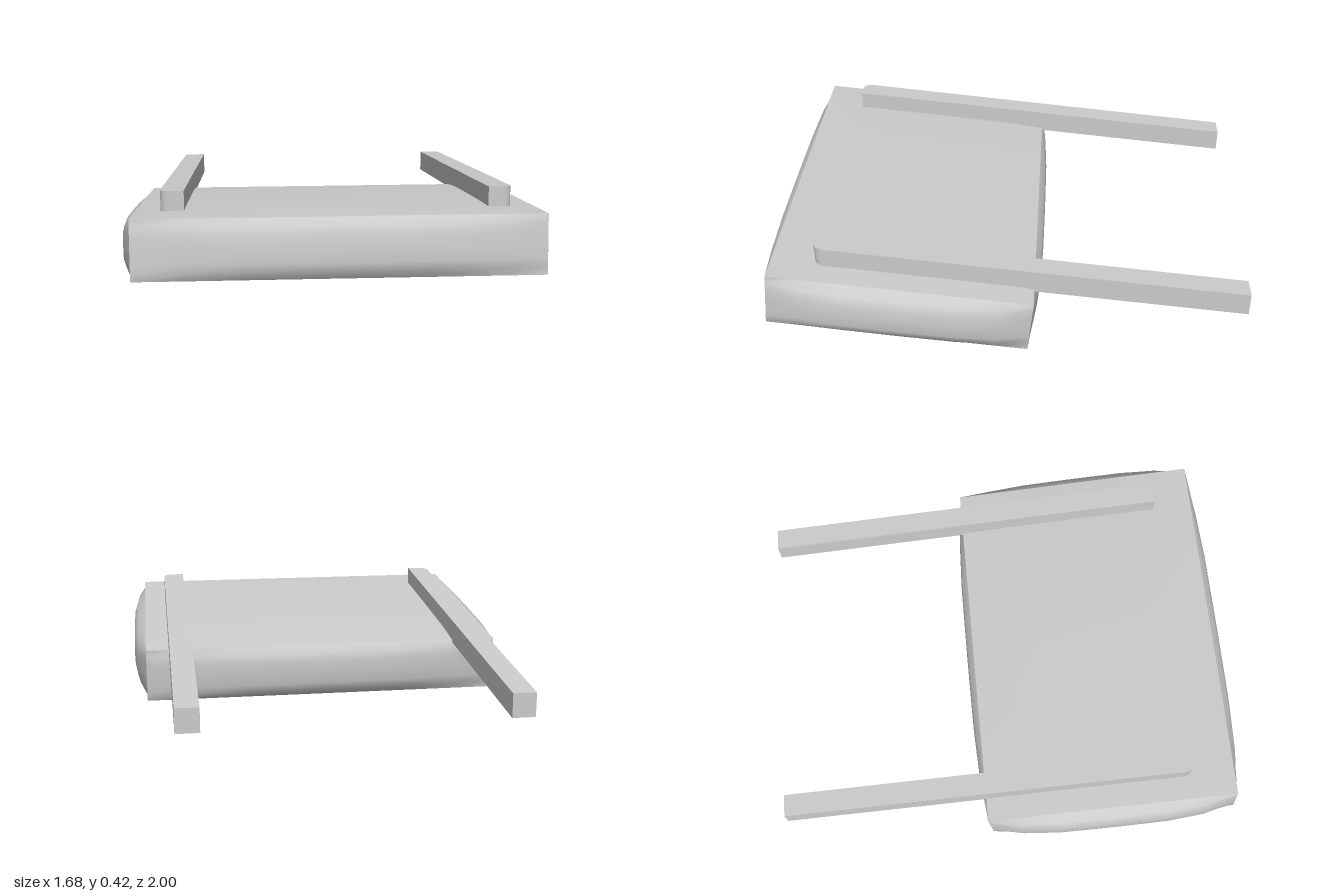
import * as THREE from 'three';

const material = new THREE.MeshStandardMaterial({ color: 0xcccccc });
const TILT = 0.1;

// Box whose six faces swell outwards while its twelve edges stay straight and sharp
function pillowBox(hx, hy, hz, swell) {
  const geo = new THREE.BoxGeometry(2, 2, 2, 6, 6, 6);
  const pos = geo.attributes.position;
  const ease = (u) => Math.sign(u) * Math.abs(u) ** 0.75;
  const bulge = (u) => 1 - u ** 4;
  for (let i = 0; i < pos.count; i++) {
    const x = ease(pos.getX(i)), y = ease(pos.getY(i)), z = ease(pos.getZ(i));
    const bx = bulge(x), by = bulge(y), bz = bulge(z);
    const lift = y > 0 ? swell.top : swell.bottom;
    pos.setXYZ(
      i,
      x * (hx + swell.x * by * bz),
      y * (hy + lift * bx * bz),
      z * (hz + swell.z * bx * by),
    );
  }
  geo.computeVertexNormals();
  return geo;
}

// Square bar with one rounded outer front corner, sloping down towards the back
function barGeometry(side) {
  const inner = 0.593 * side, outer = 0.687 * side, r = 0.045;
  const shape = new THREE.Shape();
  shape.moveTo(inner, 1);
  shape.lineTo(inner, -0.77);
  shape.lineTo(outer - r * side, -0.77);
  shape.quadraticCurveTo(outer, -0.77, outer, -0.77 + r);
  shape.lineTo(outer, 1);
  shape.closePath();
  const geo = new THREE.ExtrudeGeometry(shape, { depth: 0.098, bevelEnabled: false, curveSegments: 6 });
  geo.rotateX(-Math.PI / 2);
  const pos = geo.attributes.position;
  for (let i = 0; i < pos.count; i++) {
    pos.setY(i, pos.getY(i) + 0.246 + 0.099 * pos.getZ(i));
  }
  geo.computeVertexNormals();
  return geo;
}

export function createModel() {
  const model = new THREE.Group();
  model.name = 'paddedBodyWithBars';

  // Padded body, front edge raised
  const body = new THREE.Mesh(
    pillowBox(0.787, 0.118, 0.538, { x: 0.055, z: 0.038, top: 0.015, bottom: 0.03 }),
    material,
  );
  body.name = 'body';
  body.position.set(0, 0.181, 0.423);
  body.rotation.x = -TILT;
  model.add(body);

  // Pair of long bars running backwards
  for (const [side, name] of [[1, 'leftBar'], [-1, 'rightBar']]) {
    const bar = new THREE.Mesh(barGeometry(side), material);
    bar.name = name;
    model.add(bar);
  }
  return model;
}
